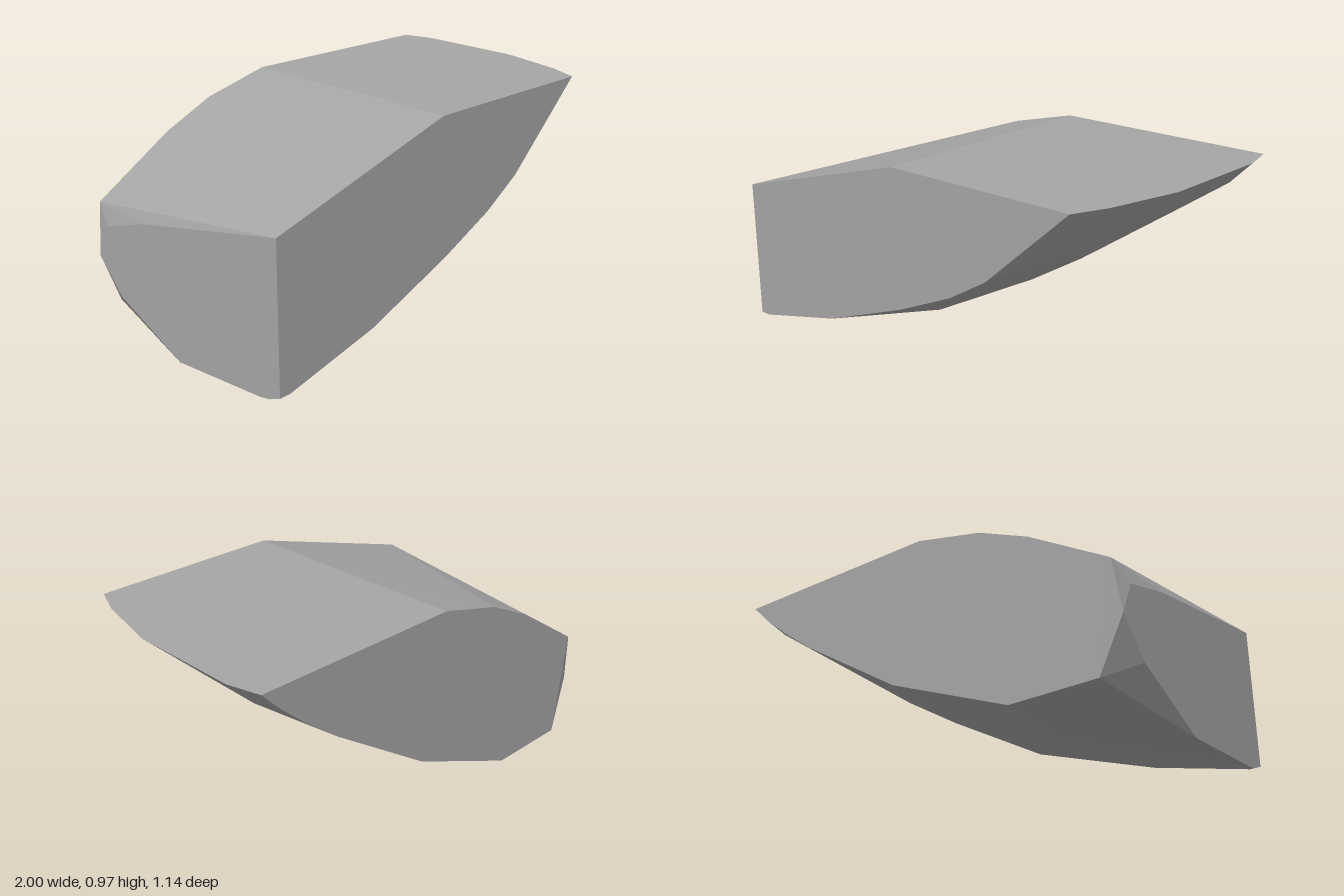
import * as THREE from 'three';
import { ConvexGeometry } from 'three/addons/geometries/ConvexGeometry.js';

const HALF_DEPTH = 0.57;

// Flat cut sides, as [x, y] outlines
const frontOutline = [
  [-1, 0.71], [-0.09, 0.97], [0.81, 0.97], [0.41, 0.6], [0.22, 0.48],
  [-0.06, 0.35], [-0.5, 0.18], [-0.95, 0.07], [-1, 0.07],
];
const backOutline = [
  [-0.97, 0.55], [-0.6, 0.78], [-0.36, 0.89], [-0.04, 0.97], [0.97, 0.97],
  [0.88, 0.88], [0.75, 0.77], [0.59, 0.65], [0.08, 0.32], [-0.5, 0.075], [-0.9, 0.075],
];

// Upright cut end at x = -1, as [y, z]
const endOutline = [
  [0.045, 0.51], [0.035, 0.46], [0, -0.03], [0.17, -0.41],
  [0.32, -0.55], [0.47, -0.48], [0.55, -0.22],
];

// Curved rim of the flat top, as [x, z]
const topRim = [[0.88, 0.42], [0.97, 0.1], [1, -0.42]];

// Chipped corners across the underside
const underside = [
  [0.89, 0.86, -0.44], [0.69, 0.73, 0.12], [0.41, 0.51, -0.07], [0.14, 0.34, -0.07],
  [0.11, 0.34, -0.5], [-0.01, 0.3, 0.38], [-0.14, 0.21, -0.07], [-0.48, 0.075, -0.17],
];

export function createModel() {
  const stone = new THREE.MeshStandardMaterial({ color: 0xa5a5a5 });
  stone.name = 'stone grey';

  const corners = [
    ...frontOutline.map(([x, y]) => [x, y, HALF_DEPTH]),
    ...backOutline.map(([x, y]) => [x, y, -HALF_DEPTH]),
    ...endOutline.map(([y, z]) => [-1, y, z]),
    ...topRim.map(([x, z]) => [x, 0.97, z]),
    ...underside,
  ].map((p) => new THREE.Vector3(...p));

  // One faceted convex block with flat face normals
  const rock = new THREE.Mesh(new ConvexGeometry(corners), stone);
  rock.name = 'rockChunk';

  const group = new THREE.Group();
  group.name = 'rock';
  group.add(rock);
  return group;
}
